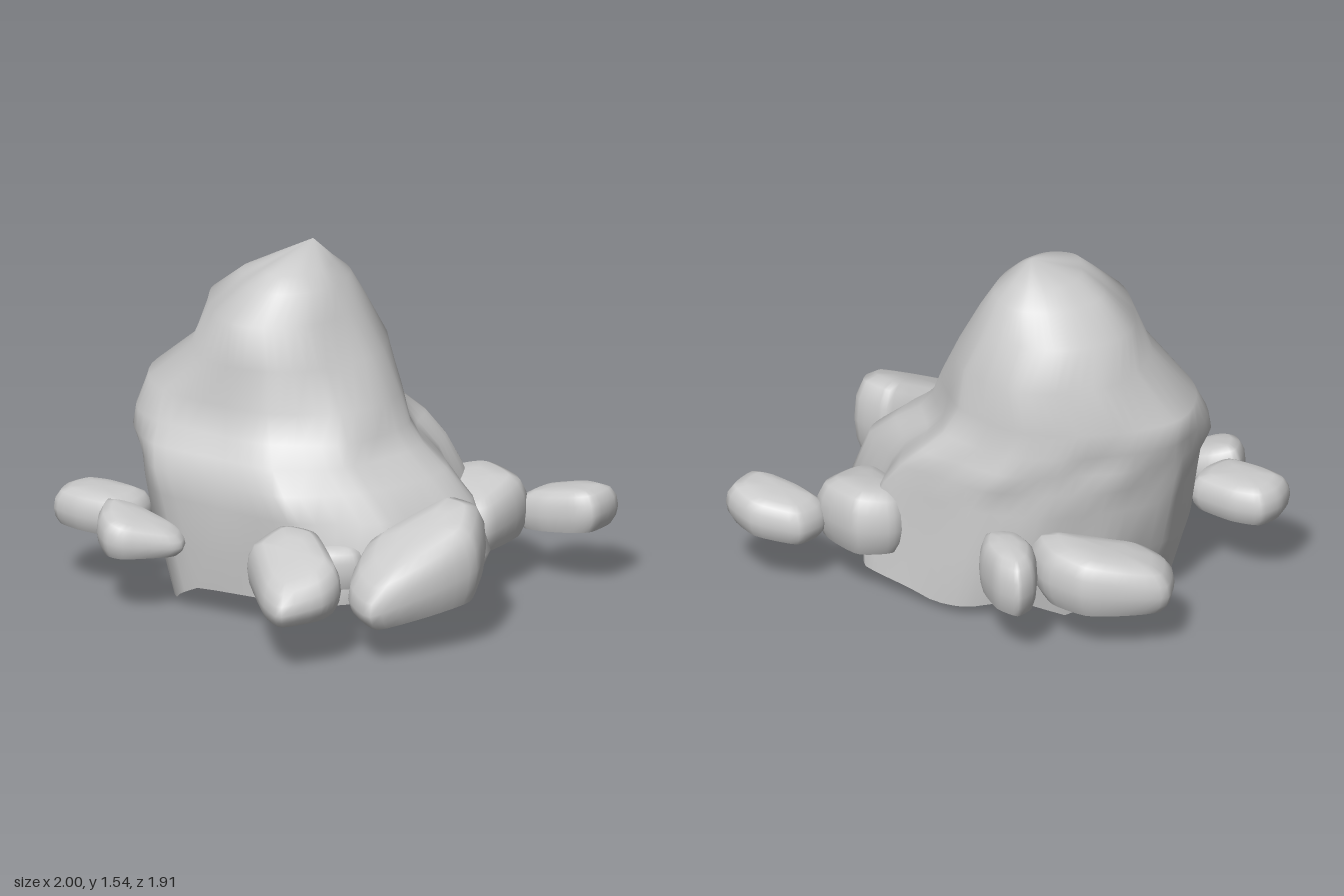
import * as THREE from 'three';
import { mergeVertices } from 'three/addons/utils/BufferGeometryUtils.js';

const material = new THREE.MeshStandardMaterial({ color: 0xcccccc, side: THREE.DoubleSide });

function addMesh(group, name, geometry) {
  const mesh = new THREE.Mesh(geometry, material);
  mesh.name = name;
  group.add(mesh);
}

// Closed plan curve through [x, z] points, as evenly numbered samples
function planCurve(points, count, tension) {
  const curve = new THREE.CatmullRomCurve3(points.map(([x, z]) => new THREE.Vector3(x, 0, z)), true, 'catmullrom', tension);
  return Array.from({ length: count }, (_, i) => curve.getPoint(i / count));
}

// Smooth shell through rings of [x, y, z], open at the bottom; the last ring closes to a point
function loft(rings) {
  const n = rings[0].length, index = [];
  for (let k = 0; k < rings.length - 1; k++) {
    for (let i = 0; i < n; i++) {
      const b = k * n + i, c = k * n + (i + 1) % n;
      index.push(b, b + n, c);
      if (k < rings.length - 2) index.push(c, b + n, c + n);
    }
  }
  let g = new THREE.BufferGeometry();
  g.setAttribute('position', new THREE.Float32BufferAttribute(rings.flat(2), 3));
  g.setIndex(index);
  g = mergeVertices(g, 1e-4);
  g.computeVertexNormals();
  return g;
}

// Plan outline of the foot of the crag, from the left side round by the front
const FOOT = [
  [0.78, -0.1], [0.66, 0.24], [0.34, 0.48], [0, 0.5], [-0.45, 0.5], [-0.7, 0.3], [-0.81, -0.02],
  [-0.66, -0.3], [-0.42, -0.52], [-0.14, -0.645], [0.14, -0.65], [0.42, -0.645], [0.52, -0.44], [0.75, -0.27],
];
// Levels of the crag: [y, xMin, xMax, zMin, zMax, share of the foot outline,
// swelling of the front right, back right and back left corners]
const LEVELS = [
  [0.12, -0.66, 0.72, -0.645, 0.5, 1, -0.06, 0, 0.06], [0.3, -0.74, 0.78, -0.65, 0.5, 1, -0.03, 0, 0.02],
  [0.52, -0.76, 0.69, -0.64, 0.51, 1, 0, 0, -0.02], [0.63, -0.77, 0.57, -0.63, 0.5, 0.95, 0.03, 0, 0],
  [0.72, -0.78, 0.45, -0.61, 0.46, 0.8, 0.08, -0.03, 0], [0.8, -0.79, 0.38, -0.57, 0.4, 0.5, 0.1, -0.08, 0],
  [0.92, -0.81, 0.33, -0.555, 0.36, 0.25, 0.05, -0.13, 0], [1.1, -0.61, 0.23, -0.54, 0.34, 0.1, -0.03, -0.02, 0],
  [1.28, -0.56, 0.14, -0.46, 0.3, 0, -0.14, 0, 0], [1.4, -0.41, 0.07, -0.37, 0.18, 0, -0.16, 0, 0],
  [1.46, -0.3, 0.0, -0.29, 0.11, 0, -0.2, 0, 0], [1.55, -0.12, -0.12, -0.18, -0.18, 0, 0, 0, 0],
];
// Ragged lower hem: [angle, y]
const HEM = [[0, 0.17], [0.9, 0.17], [1.6, 0.14], [1.95, 0.13], [2.3, 0.0], [2.45, 0.08], [2.6, 0.01],
  [2.9, 0.14], [3.4, 0.2], [3.75, 0.0], [4.2, 0.1], [4.5, 0.06], [4.75, 0.05], [5.4, 0.14], [6.29, 0.17]];

function hemHeight(a) {
  const i = Math.max(1, HEM.findIndex(h => h[0] >= a));
  const [a0, y0] = HEM[i - 1], [a1, y1] = HEM[i];
  return THREE.MathUtils.lerp(y0, y1, (a - a0) / (a1 - a0));
}

function cragGeometry() {
  const outline = planCurve(FOOT, 64, 0.3);
  return loft(LEVELS.map(([y, x0, x1, z0, z1, share, ...corners], k) => outline.map(p => {
    // Foot outline brought to the range -1..1, then blended with a circle
    const u = (p.x + 0.015) / 0.795, v = (p.z + 0.075) / 0.58;
    const a = (Math.atan2(v, u) + Math.PI * 2) % (Math.PI * 2);
    let bump = 0.995 + 0.015 * Math.sin(3 * a + k * 1.3) + 0.01 * Math.sin(7 * a + k * 2.1);
    corners.forEach((d, i) => { bump += d * Math.max(0, Math.cos(a - Math.PI * (0.75 + i * 0.5))) ** 7; });
    return [
      (x0 + x1) / 2 + THREE.MathUtils.lerp(Math.cos(a), u, share) * bump * (x1 - x0) / 2,
      k === 0 ? hemHeight(a) : y,
      (z0 + z1) / 2 + THREE.MathUtils.lerp(Math.sin(a), v, share) * bump * (z1 - z0) / 2,
    ];
  })));
}

// Side profile of a boulder: [share of height, share of plan]
const PROFILE = [[0, 0.86], [0.18, 0.96], [0.4, 1], [0.65, 0.97], [0.86, 0.85], [0.96, 0.65], [1, 0.35], [1, 0]];

// Stone shell over a plan outline; tilt and floorTilt are the [rise along x, rise along z] of top and rim
function boulderGeometry({ plan, bottom, top, tilt = [0, 0], floorTilt = [0, 0] }) {
  const outline = planCurve(plan, 32, 0.3);
  const centre = outline.reduce((sum, p) => sum.add(p), new THREE.Vector3()).divideScalar(outline.length);
  return loft(PROFILE.map(([t, s]) => outline.map(p => {
    const dx = (p.x - centre.x) * s, dz = (p.z - centre.z) * s;
    const low = bottom + floorTilt[0] * dx + floorTilt[1] * dz;
    const high = top + tilt[0] * dx + tilt[1] * dz;
    return [centre.x + dx, THREE.MathUtils.lerp(low, high, t), centre.z + dz];
  })));
}

const BOULDERS = {
  backLeftOuterBoulder: {
    plan: [[0.57, -0.75], [0.6, -0.88], [0.8, -0.96], [0.97, -0.9], [0.98, -0.73], [0.9, -0.68], [0.73, -0.66], [0.6, -0.68]],
    bottom: 0.26, top: 0.44, tilt: [0.18, 0], floorTilt: [0.12, 0],
  },
  backLeftInnerBoulder: {
    plan: [[0.24, -0.68], [0.38, -0.79], [0.64, -0.7], [0.67, -0.4], [0.6, -0.32], [0.42, -0.4], [0.25, -0.5]],
    bottom: 0.22, top: 0.48, tilt: [0, -0.2],
  },
  backRightSmallBoulder: {
    plan: [[-0.54, -0.75], [-0.53, -0.86], [-0.4, -0.85], [-0.24, -0.74], [-0.17, -0.62], [-0.21, -0.56], [-0.3, -0.53], [-0.44, -0.6]],
    bottom: 0.22, top: 0.47,
  },
  backRightLargeBoulder: {
    plan: [[-0.99, -0.4], [-0.87, -0.54], [-0.71, -0.65], [-0.5, -0.64], [-0.34, -0.5], [-0.6, -0.28], [-0.72, -0.19], [-0.89, -0.22]],
    bottom: 0.19, top: 0.43, tilt: [0.14, -0.14],
  },
  frontRightOuterBoulder: {
    plan: [[-1, 0.43], [-0.97, 0.32], [-0.83, 0.28], [-0.62, 0.3], [-0.58, 0.42], [-0.62, 0.56], [-0.82, 0.58], [-0.96, 0.55]],
    bottom: 0.29, top: 0.46,
  },
  frontRightInnerBoulder: {
    plan: [[-0.69, 0.56], [-0.58, 0.48], [-0.34, 0.46], [-0.28, 0.54], [-0.3, 0.6], [-0.45, 0.75], [-0.54, 0.76], [-0.63, 0.69]],
    bottom: 0.28, top: 0.44, tilt: [-0.32, 0],
  },
  frontLeftBoulder: {
    plan: [[0.14, 0.64], [0.18, 0.46], [0.36, 0.44], [0.5, 0.53], [0.63, 0.64], [0.64, 0.78], [0.53, 0.95], [0.38, 0.88], [0.18, 0.69]],
    bottom: 0.24, top: 0.48, tilt: [-0.05, -0.33], floorTilt: [0, -0.06],
  },
  leftLargeBoulder: {
    plan: [[0.5, 0.3], [0.7, -0.05], [0.77, -0.07], [0.9, -0.04], [1, 0.16], [0.92, 0.38], [0.77, 0.62], [0.58, 0.52]],
    bottom: 0.21, top: 0.54, tilt: [0.05, -0.45], floorTilt: [0.05, -0.12],
  },
  frontLeftPebble: {
    plan: [[0.25, 0.45], [0.3, 0.25], [0.5, 0.28], [0.53, 0.38], [0.42, 0.48]],
    bottom: 0.25, top: 0.43,
  },
};

export function createModel() {
  const group = new THREE.Group();
  group.name = 'rockPile';
  addMesh(group, 'crag', cragGeometry());
  for (const [name, spec] of Object.entries(BOULDERS)) addMesh(group, name, boulderGeometry(spec));
  return group;
}
